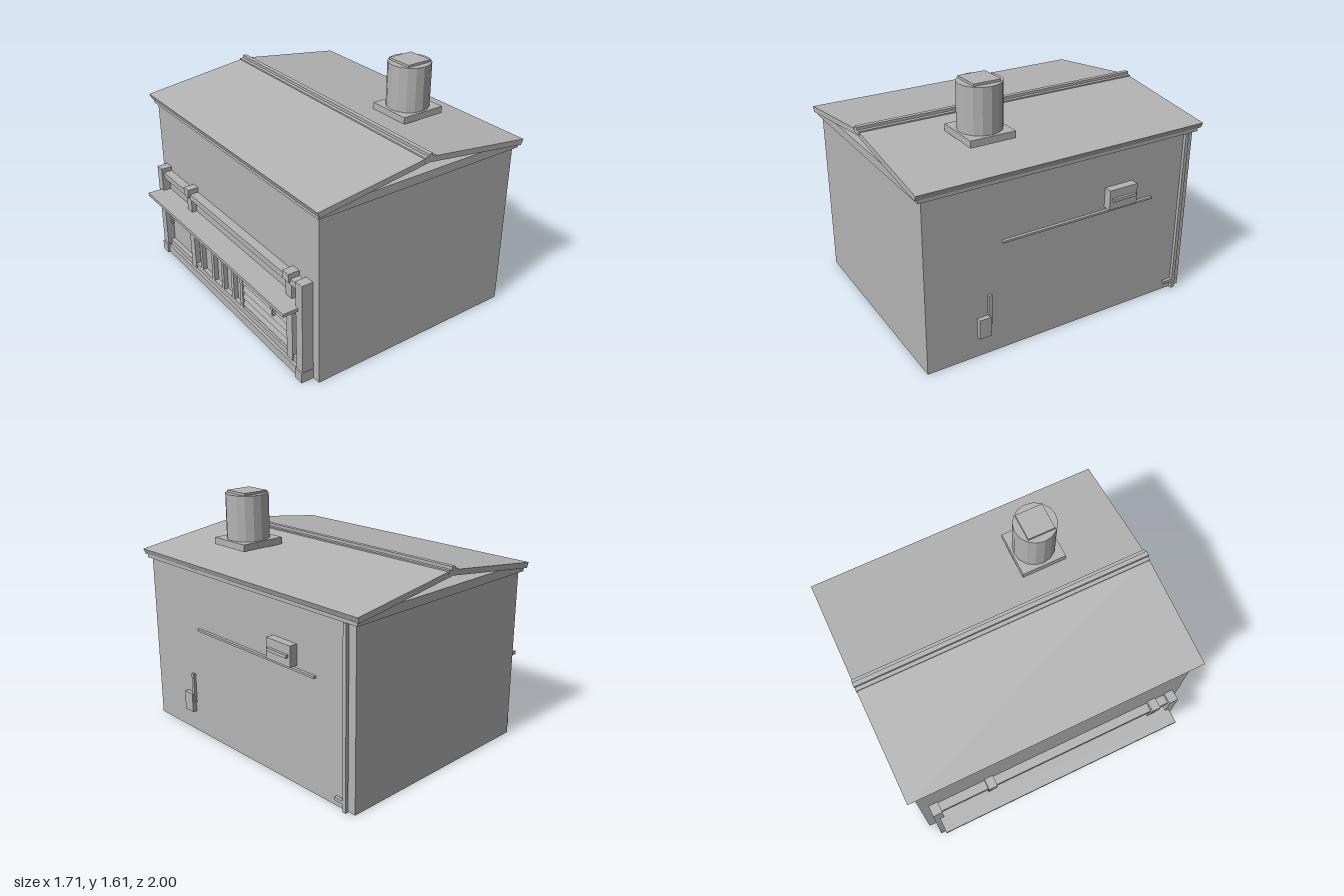
import * as THREE from 'three';

export function createModel() {
  const grey = new THREE.MeshStandardMaterial({ color: 0xb4b4b4 });
  grey.name = 'plain grey';
  const model = new THREE.Group();
  model.name = 'smallShop';

  const add = (name, geometry, parent = model) => {
    const mesh = new THREE.Mesh(geometry, grey);
    mesh.name = name;
    parent.add(mesh);
    return mesh;
  };
  // Box given by its limits on each axis
  const box = (name, x0, x1, y0, y1, z0, z1, parent = model) => {
    const mesh = add(name, new THREE.BoxGeometry(x1 - x0, y1 - y0, z1 - z0), parent);
    mesh.position.set((x0 + x1) / 2, (y0 + y1) / 2, (z0 + z1) / 2);
    return mesh;
  };
  const group = (name) => {
    const g = new THREE.Group();
    g.name = name;
    model.add(g);
    return g;
  };

  // Walls and the flat ceiling under the open gables
  box('walls', -0.68, 0.78, 0, 1.125, -0.95, 0.95);
  box('ceilingSlab', -0.7, 0.8, 1.125, 1.18, -0.975, 0.975);
  box('atticBoard', -0.44, -0.105, 1.18, 1.2, -0.3, 0.3);

  // Gabled roof with a stepped ridge cap
  const profile = new THREE.Shape([
    [-0.705, 1.148], [0.05, 1.25], [0.805, 1.148],
    [0.82, 1.183], [0.05, 1.285], [-0.72, 1.183],
  ].map(([x, y]) => new THREE.Vector2(x, y)));
  const roof = add('roof', new THREE.ExtrudeGeometry(profile, { depth: 1.99, bevelEnabled: false }));
  roof.position.z = -0.995;
  box('ridgeBase', 0.01, 0.09, 1.262, 1.288, -0.998, 0.998);
  box('ridgeCap', 0.035, 0.065, 1.285, 1.306, -1, 1);

  // Roof vent
  const vent = group('roofVent');
  box('ventBase', 0.26, 0.57, 1.255, 1.3, 0.23, 0.53, vent);
  const drum = add('ventDrum', new THREE.CylinderGeometry(0.138, 0.138, 0.29, 16).toNonIndexed(), vent);
  drum.geometry.computeVertexNormals();
  drum.position.set(0.415, 1.445, 0.38);
  box('ventCap', 0.325, 0.505, 1.59, 1.605, 0.29, 0.47, vent);

  // Utilities on the left wall
  const utilities = group('wallUtilities');
  box('downpipe', 0.785, 0.806, 0, 1.125, -0.9, -0.875, utilities);
  box('downpipeFoot', 0.785, 0.806, 0.05, 0.07, -0.88, -0.81, utilities);
  box('upperBox', 0.78, 0.833, 0.765, 0.895, -0.485, -0.278, utilities);
  box('upperBoxHandle', 0.833, 0.85, 0.82, 0.84, -0.467, -0.297, utilities);
  box('conduit', 0.78, 0.8, 0.735, 0.748, -0.64, 0.45, utilities);
  box('meterBox', 0.78, 0.81, 0.14, 0.27, 0.535, 0.618, utilities);
  box('meterPipe', 0.78, 0.798, 0.21, 0.412, 0.525, 0.547, utilities);

  // Shop front on the right wall
  const shop = group('shopFront');
  box('backPanel', -0.7, -0.68, 0.01, 0.65, -0.86, 0.86, shop);
  box('bottomRail', -0.75, -0.7, 0, 0.06, -0.85, 0.85, shop);
  box('topRail', -0.74, -0.7, 0.61, 0.65, -0.85, 0.85, shop);
  for (const s of [-1, 1]) {
    const z = s * 0.862;
    box('endPost', -0.755, -0.68, 0, 0.68, z - 0.032, z + 0.032, shop);
    box('postFoot', -0.765, -0.68, 0, 0.07, z - 0.035, z + 0.035, shop);
    box('shelfBracket', -0.8, -0.78, 0.35, 0.49, s * 0.645 - 0.01, s * 0.645 + 0.01, shop);
  }
  box('shelf', -0.857, -0.7, 0.49, 0.512, -0.86, 0.855, shop);
  for (const z of [-0.47, 0.73]) {
    box('railBlock', -0.755, -0.68, 0.63, 0.685, z - 0.03, z + 0.03, shop);
    box('framePost', -0.735, -0.7, 0.06, 0.61, z - 0.03, z + 0.03, shop);
  }
  for (const z of [-0.36, -0.2, -0.07, 0.06, 0.17]) {
    box('mullion', -0.73, -0.7, 0.06, 0.49, z - 0.015, z + 0.015, shop);
  }
  box('sillRail', -0.73, -0.7, 0.06, 0.1, -0.83, 0.83, shop);

  // Slanted shutter slats
  for (let i = 0; i < 7; i++) {
    const y = 0.115 + i * 0.055;
    const slat = box('shutterSlat', -0.72, -0.705, y, y + 0.05, 0.185, 0.7, shop);
    slat.rotation.z = -0.3;
  }
  return model;
}
